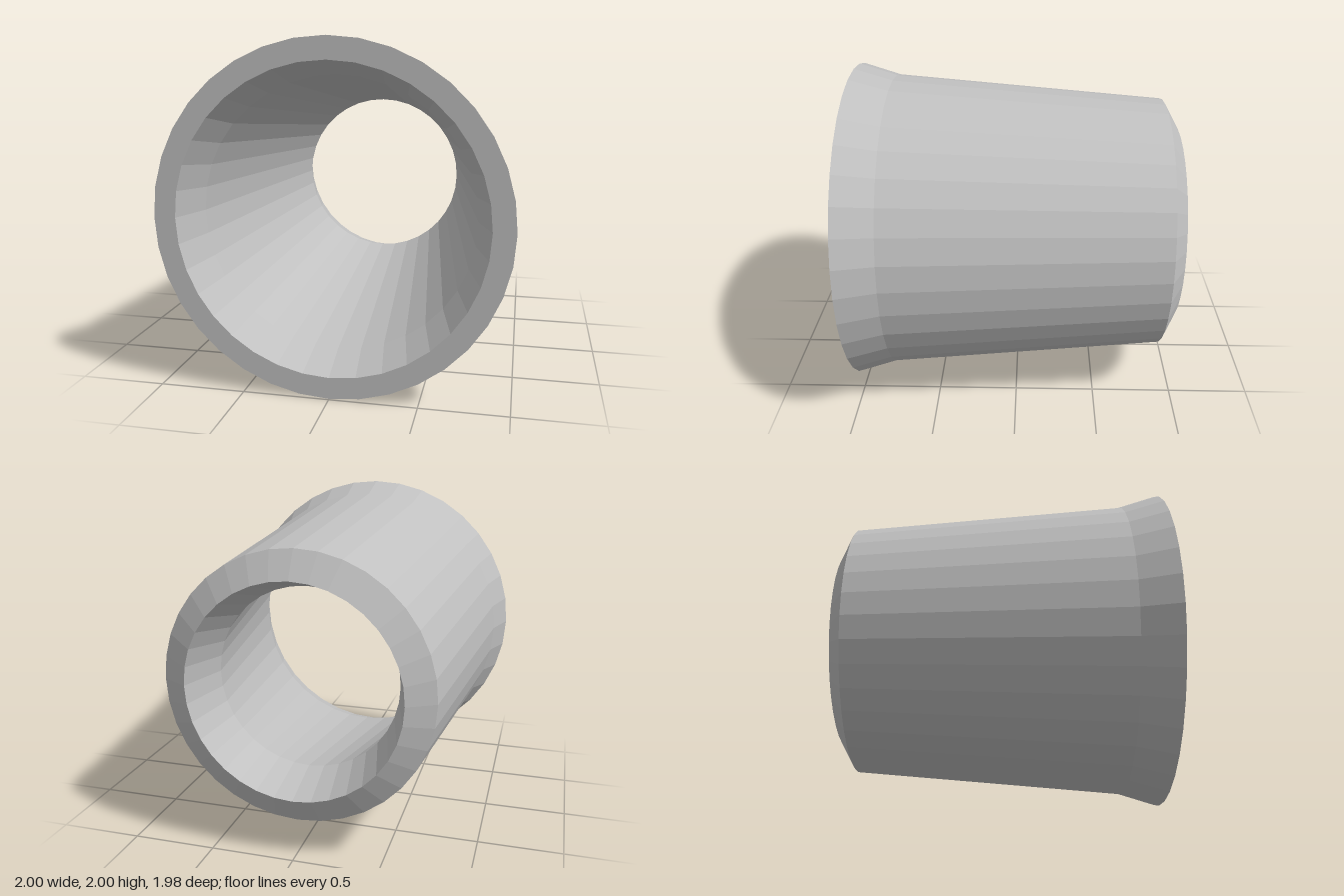
import * as THREE from 'three';

export function createModel() {
  const group = new THREE.Group();
  group.name = 'taperedSleeve';
  const grey = new THREE.MeshStandardMaterial({ color: 0xc0c0c0, flatShading: true });
  grey.name = 'grey';

  // Closed wall section as [radius, z]: throat, back lip, taper, flared rim, bore
  const section = [
    [0.545, -0.68], [0.63, -0.99], [0.79, -0.9], [0.93, 0.76],
    [1, 0.99], [0.875, 0.99], [0.79, 0.76], [0.545, -0.68],
  ].map(([r, z]) => new THREE.Vector2(r, z));

  // Hollow body turned around the z axis
  const geometry = new THREE.LatheGeometry(section, 36);
  geometry.rotateX(Math.PI / 2);
  const sleeve = new THREE.Mesh(geometry, grey);
  sleeve.name = 'sleeve';
  sleeve.position.y = 1;
  group.add(sleeve);
  return group;
}
